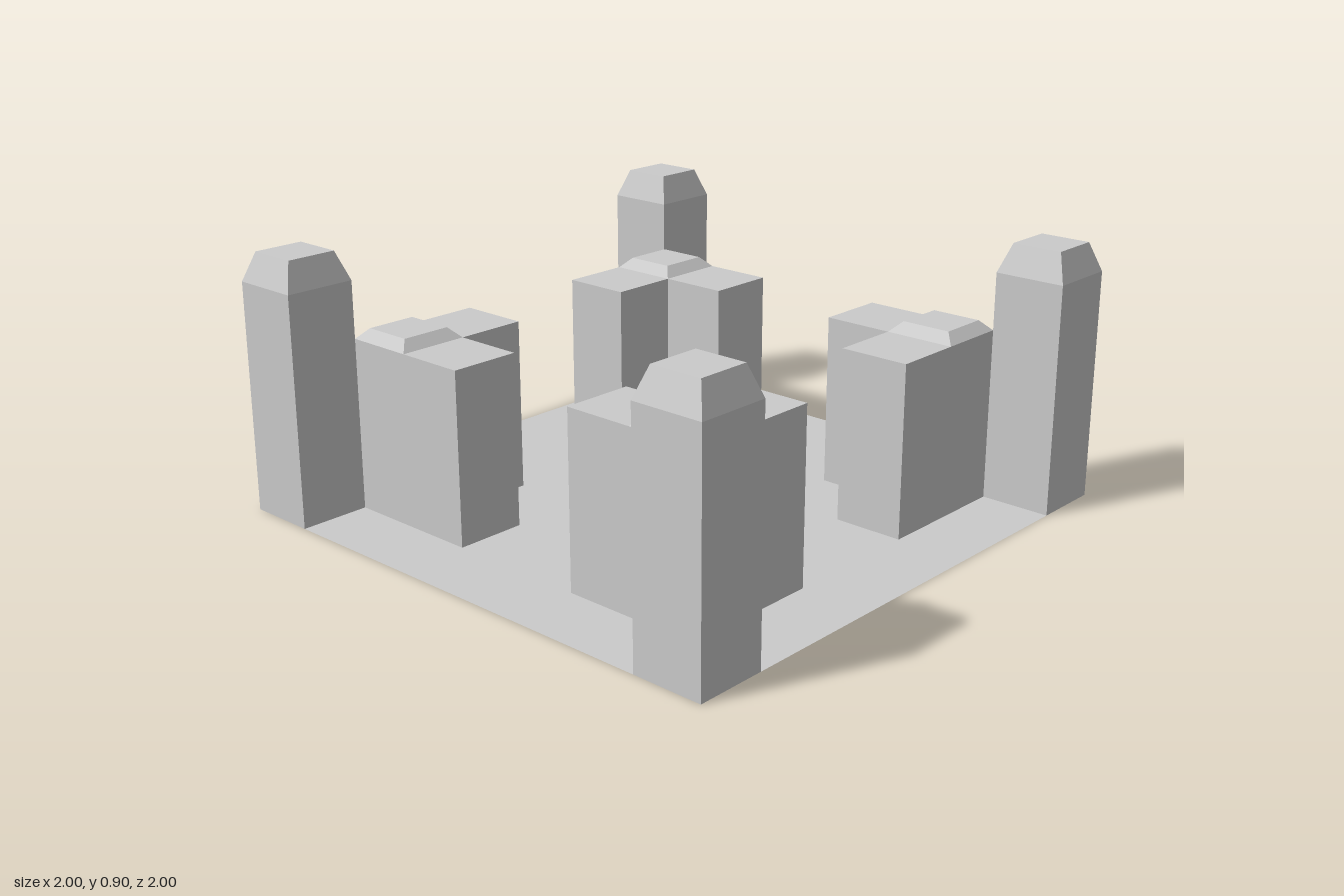
import * as THREE from 'three';

const CELL = 0.25, INSET = 0.036;
const material = new THREE.MeshStandardMaterial({
  color: 0xcccccc, flatShading: true, side: THREE.DoubleSide,
});

// Outline of one grid cell as [x, z] corners, counter-clockwise from above
const square = (x, z, inset = 0) => {
  const a = inset, b = CELL - inset;
  return [[x + a, z + a], [x + a, z + b], [x + b, z + b], [x + b, z + a]];
};

// Mesh from four-cornered faces
function quadMesh(name, quads) {
  const points = quads.flatMap(([a, b, c, d]) => [a, b, c, a, c, d]).flat();
  const geometry = new THREE.BufferGeometry();
  geometry.setAttribute('position', new THREE.Float32BufferAttribute(points, 3));
  geometry.computeVertexNormals();
  const mesh = new THREE.Mesh(geometry, material);
  mesh.name = name;
  return mesh;
}

const flat = (loop, y) => loop.map(([x, z]) => [x, y, z]);

// Band of side faces joining a lower outline to an upper one
function band(lower, y0, upper, y1) {
  const lo = flat(lower, y0), hi = flat(upper, y1);
  return lo.map((p, i) => {
    const j = (i + 1) % lo.length;
    return [p, lo[j], hi[j], hi[i]];
  });
}

// Bevelled block on top of a cell
const cap = (x, z, y0, y1) => [
  ...band(square(x, z), y0, square(x, z, INSET), y1),
  flat(square(x, z, INSET), y1),
];

// Tall corner tower, open underneath
function cornerTower() {
  const group = new THREE.Group();
  group.name = 'cornerTower';
  const base = square(0.75, 0.75);
  group.add(
    quadMesh('towerWalls', band(base, 0, base, 0.8)),
    quadMesh('towerCap', cap(0.75, 0.75, 0.8, 0.9)),
  );
  return group;
}

// L-shaped building with its corner pointing at the tower, open underneath
function cornerBuilding() {
  const group = new THREE.Group();
  group.name = 'cornerBuilding';
  const outline = [
    [0.5, 0.25], [0.5, 0.5], [0.25, 0.5], [0.25, 0.75], [0.75, 0.75], [0.75, 0.25],
  ];
  group.add(
    quadMesh('buildingWalls', band(outline, 0, outline, 0.6)),
    quadMesh('buildingRoof', [flat(square(0.25, 0.5), 0.6), flat(square(0.5, 0.25), 0.6)]),
    quadMesh('buildingCap', cap(0.5, 0.5, 0.6, 0.636)),
  );
  return group;
}

// Ground sheet, left open beneath every tower and building
function ground() {
  const open = new Set(['3,3', '2,2', '1,2', '2,1']);
  const ringOf = (i) => (i < 4 ? 3 - i : i - 4);
  const quads = [];
  for (let i = 0; i < 8; i++) {
    for (let j = 0; j < 8; j++) {
      if (open.has(`${ringOf(i)},${ringOf(j)}`)) continue;
      quads.push(flat(square(-1 + i * CELL, -1 + j * CELL), 0));
    }
  }
  return quadMesh('ground', quads);
}

export function createModel() {
  const model = new THREE.Group();
  model.name = 'cityBlock';
  model.add(ground());

  // The same corner repeated by quarter turns
  for (let k = 0; k < 4; k++) {
    const corner = new THREE.Group();
    corner.name = `corner${k + 1}`;
    corner.add(cornerTower(), cornerBuilding());
    corner.rotation.y = k * Math.PI / 2;
    model.add(corner);
  }
  return model;
}
